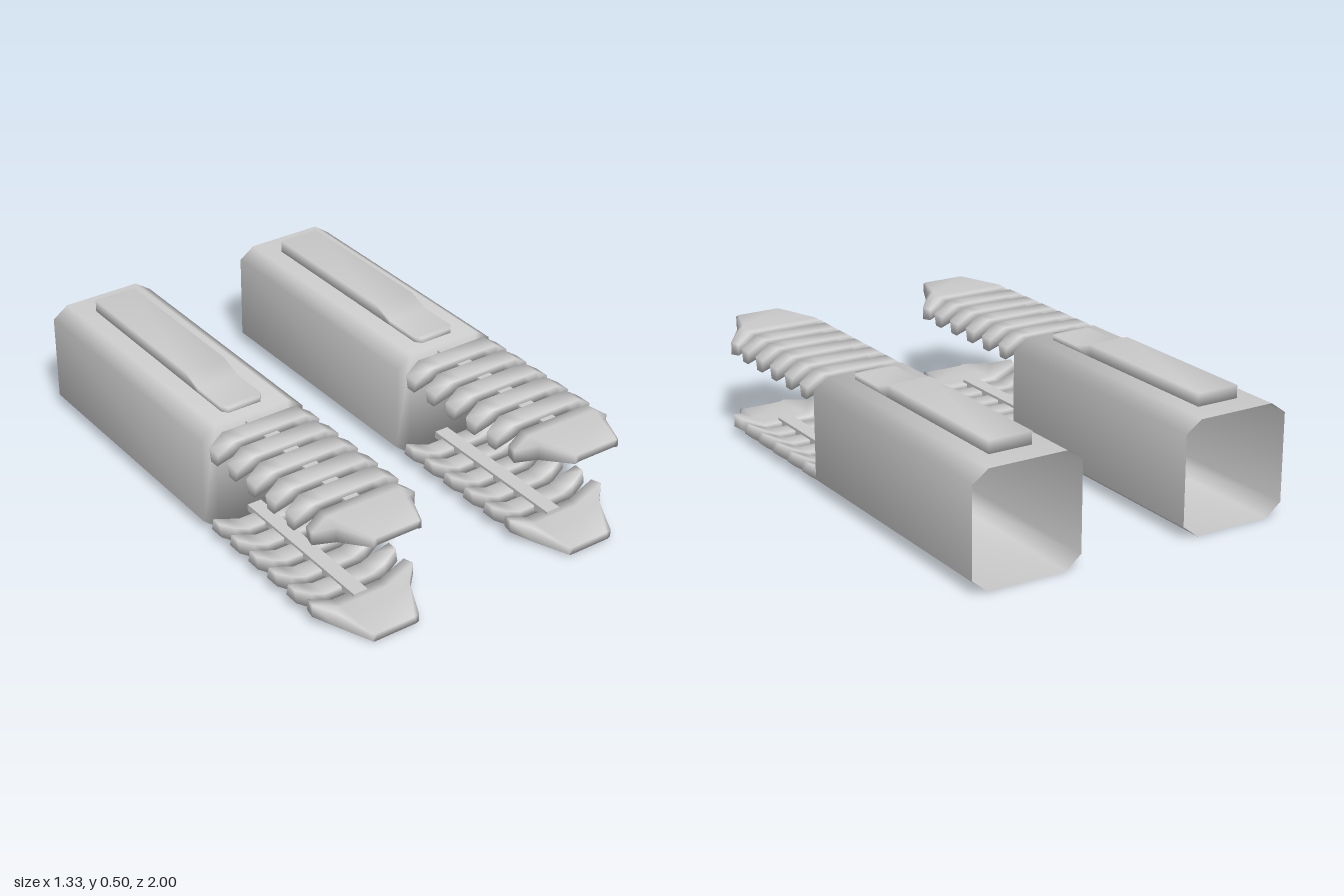
import * as THREE from 'three';

const grey = new THREE.MeshStandardMaterial({ color: 0xcccccc });
const greyOpen = new THREE.MeshStandardMaterial({ color: 0xcccccc, side: THREE.DoubleSide });
const HEIGHT = 0.445;

// Smooth skin over rings of points; caps join point i to its opposite N-1-i.
function loft(rings, capStart = true, capEnd = true) {
  const n = rings[0].length, index = [];
  for (let k = 0; k < rings.length - 1; k++) {
    for (let i = 0; i < n; i++) {
      const a = k * n + i, b = k * n + (i + 1) % n;
      index.push(a, b, b + n, a, b + n, a + n);
    }
  }
  const last = (rings.length - 1) * n;
  for (let i = 0; i < n / 2 - 1; i++) {
    const [a, b, c, d] = [i, i + 1, n - 2 - i, n - 1 - i];
    if (capStart) index.push(a, c, b, a, d, c);
    if (capEnd) index.push(last + a, last + b, last + c, last + a, last + c, last + d);
  }
  const geometry = new THREE.BufferGeometry();
  geometry.setAttribute('position', new THREE.Float32BufferAttribute(rings.flat(2), 3));
  geometry.setIndex(index);
  geometry.computeVertexNormals();
  return geometry;
}

// Eight-point section across z: lower chain left to right, upper chain back.
const section = (z, w, lowSide, wLow, low, wTop, highSide, top) => [
  [-w, lowSide, z], [-wLow, low, z], [wLow, low, z], [w, lowSide, z],
  [w, highSide, z], [wTop, top, z], [-wTop, top, z], [-w, highSide, z],
];

function addMesh(parent, name, geometry, material = grey) {
  const mesh = new THREE.Mesh(geometry, material);
  mesh.name = name;
  parent.add(mesh);
  return mesh;
}

// Arched rib running along x, tapered at its drooping tips.
function ribGeometry() {
  // x, upper y, lower y, upper half depth, lower half depth
  const half = [
    [-0.22, 0.4, 0.35, 0.032, 0.021],
    [-0.158, 0.442, 0.382, 0.04, 0.038],
    [-0.1, 0.442, 0.405, 0.04, 0.038],
  ];
  const stations = [...half, ...half.map(([x, ...r]) => [-x, ...r]).reverse()];
  return loft(stations.map(([x, hi, lo, a, b]) => [
    [x, lo, -b], [x, hi, -a], [x, hi, a], [x, lo, b],
  ]));
}

// Upper jaw: rod, five ribs and a tapered nose.
function createJaw(name) {
  const jaw = new THREE.Group();
  jaw.name = name;
  const rod = addMesh(jaw, 'rod', new THREE.BoxGeometry(0.06, 0.028, 0.7));
  rod.position.set(0, 0.408, 0.44);

  const rib = ribGeometry();
  for (let i = 0; i < 5; i++) {
    addMesh(jaw, 'rib', rib).position.z = 0.188 + i * 0.1225;
  }

  addMesh(jaw, 'nose', loft([
    section(0.76, 0.21, 0.355, 0.1, 0.405, 0.155, 0.4, 0.442),
    section(0.805, 0.219, 0.35, 0.1, 0.405, 0.158, 0.4, 0.442),
    section(0.865, 0.158, 0.373, 0.1, 0.405, 0.135, 0.433, 0.442),
    section(1, 0.1, 0.405, 0.08, 0.41, 0.09, 0.436, 0.441),
  ]));
  return jaw;
}

function createUnit(name) {
  const unit = new THREE.Group();
  unit.name = name;

  // Eight-sided housing, open at the back
  const housing = z => section(z, 0.222, 0.05, 0.158, 0, 0.158, 0.4, HEIGHT);
  addMesh(unit, 'housing', loft([housing(-1), housing(0.105)], false, true), greyOpen);

  // Raised strip on top: z, half width, top height
  const strip = [
    [-0.89, 0.0875, 0.495], [-0.22, 0.0875, 0.495], [-0.13, 0.0875, 0.465],
    [0.03, 0.0875, 0.465], [0.055, 0.07, 0.465],
  ];
  addMesh(unit, 'topStrip', loft(strip.map(([z, w, y]) => [
    [-w, 0.44, z], [w, 0.44, z], [w, y, z], [-w, y, z],
  ])));

  // The lower jaw is the upper one turned half round
  unit.add(createJaw('upperJaw'));
  const lower = createJaw('lowerJaw');
  lower.rotation.z = Math.PI;
  lower.position.y = HEIGHT;
  unit.add(lower);
  return unit;
}

export function createModel() {
  const model = new THREE.Group();
  model.name = 'pairedUnits';
  for (const [name, side] of [['leftUnit', 1], ['rightUnit', -1]]) {
    const unit = createUnit(name);
    unit.position.x = side * 0.443;
    model.add(unit);
  }
  return model;
}
